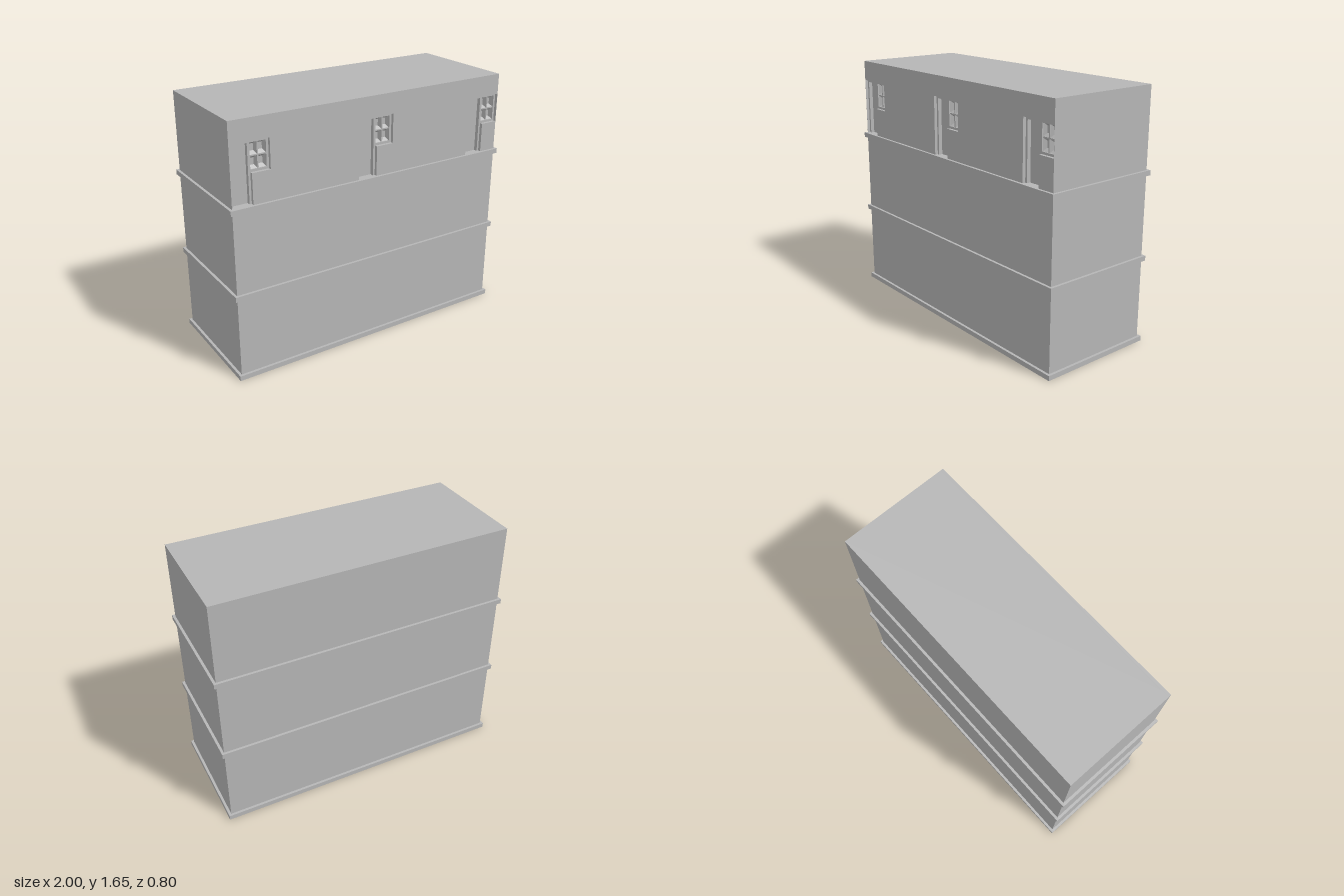
import * as THREE from 'three';

const W = 0.983, D = 0.383, H = 1.65;   // half width, half depth, height of the walls
const FLOORS = [0, 0.55, 1.1], BAND = 0.032;
const SILL = FLOORS[2] + BAND;
const WALL = 0.02;

const stone = new THREE.MeshStandardMaterial({ color: 0xb6b6b6, side: THREE.DoubleSide });
stone.name = 'grey stone';

function add(parent, name, geometry, x = 0, y = 0, z = 0) {
  const mesh = new THREE.Mesh(geometry, stone);
  mesh.name = name;
  mesh.position.set(x, y, z);
  parent.add(mesh);
  return mesh;
}

const points = (list, dx = 0) => list.map(([x, y]) => new THREE.Vector2(x + dx, y));
const rect = (x0, y0, x1, y1) => points([[x0, y0], [x1, y0], [x1, y1], [x0, y1]]);
const extrude = (shape, depth) => new THREE.ExtrudeGeometry(shape, { depth, bevelEnabled: false });

// Stepped outline that holds a door and the window beside it
const OPENING = [[0, SILL], [0.133, SILL], [0.133, 1.325], [0.252, 1.325], [0.252, 1.515], [0, 1.515]];
const DOOR = { x0: 0.015, x1: 0.119, top: 1.5 };
const WIN = { x0: 0.134, x1: 0.237, y0: 1.34, y1: 1.5 };

// Sloping sides of one window pane, narrowing towards the back
function paneGeometry(w, h, depth) {
  const geo = new THREE.CylinderGeometry(Math.SQRT1_2, Math.SQRT1_2 * 0.55, 1, 4, 1, true);
  geo.rotateY(Math.PI / 4).rotateX(Math.PI / 2).scale(w, h, depth);
  const flat = geo.toNonIndexed();
  flat.computeVertexNormals();
  return flat;
}

function doorAndWindow() {
  const group = new THREE.Group();
  group.name = 'doorAndWindow';

  // Recessed frame running around both openings
  const frame = new THREE.Shape(points([
    [0, SILL], [DOOR.x0, SILL], [DOOR.x0, DOOR.top], [DOOR.x1, DOOR.top], [DOOR.x1, SILL],
    ...OPENING.slice(1),
  ]));
  frame.holes.push(new THREE.Path(rect(WIN.x0, WIN.y0, WIN.x1, WIN.y1)));
  add(group, 'frame', extrude(frame, 0.025), 0, 0, D - WALL - 0.025);

  // Door leaf and threshold
  const doorW = DOOR.x1 - DOOR.x0, doorX = (DOOR.x0 + DOOR.x1) / 2;
  add(group, 'door', new THREE.BoxGeometry(doorW, DOOR.top - SILL, 0.01),
    doorX, (DOOR.top + SILL) / 2, D - 0.05);
  add(group, 'threshold', new THREE.BoxGeometry(doorW, 0.01, 0.03), doorX, SILL - 0.005, D - 0.034);

  // Window: glass plate, crossing bars and four sloped panes
  const w = WIN.x1 - WIN.x0, h = WIN.y1 - WIN.y0;
  const cx = (WIN.x0 + WIN.x1) / 2, cy = (WIN.y0 + WIN.y1) / 2;
  add(group, 'glass', new THREE.BoxGeometry(w, h, 0.006), cx, cy, D - 0.053);
  add(group, 'windowBarUpright', new THREE.BoxGeometry(0.008, h, 0.025), cx, cy, D - 0.0375);
  add(group, 'windowBarCross', new THREE.BoxGeometry(w, 0.008, 0.025), cx, cy, D - 0.0375);
  for (const sx of [-1, 1]) for (const sy of [-1, 1]) {
    add(group, 'paneSurround', paneGeometry(w / 2 - 0.004, h / 2 - 0.004, 0.022),
      cx + sx * (w / 4 + 0.002), cy + sy * (h / 4 + 0.002), D - 0.039);
  }
  return group;
}

export function createModel() {
  const model = new THREE.Group();
  model.name = 'building';
  const starts = [-0.982, -0.128, 0.73];

  // Front wall with the stepped openings on the upper floor
  const front = new THREE.Shape(rect(-W, 0, W, H));
  for (const x of starts) front.holes.push(new THREE.Path(points(OPENING, x)));
  add(model, 'frontWall', extrude(front, WALL), 0, 0, D - WALL);

  // Back, sides and roof; the underside stays open
  add(model, 'backWall', new THREE.PlaneGeometry(2 * W, H), 0, H / 2, -D).rotation.y = Math.PI;
  for (const s of [-1, 1]) {
    add(model, s > 0 ? 'leftWall' : 'rightWall', new THREE.PlaneGeometry(2 * D, H), s * W, H / 2, 0)
      .rotation.y = s * Math.PI / 2;
  }
  add(model, 'roof', new THREE.PlaneGeometry(2 * W, 2 * D), 0, H, 0).rotation.x = -Math.PI / 2;

  // Ledge around the foot of each floor
  const ring = new THREE.Shape(rect(-1, -0.4, 1, 0.4));
  ring.holes.push(new THREE.Path(rect(-W + 0.01, -D + 0.01, W - 0.01, D - 0.01)));
  const ledge = extrude(ring, BAND).rotateX(-Math.PI / 2);
  for (const y of FLOORS) add(model, 'floorLedge', ledge, 0, y, 0);

  // Three doors, each with its window
  for (const x of starts) {
    const unit = doorAndWindow();
    unit.position.x = x;
    model.add(unit);
  }
  return model;
}
